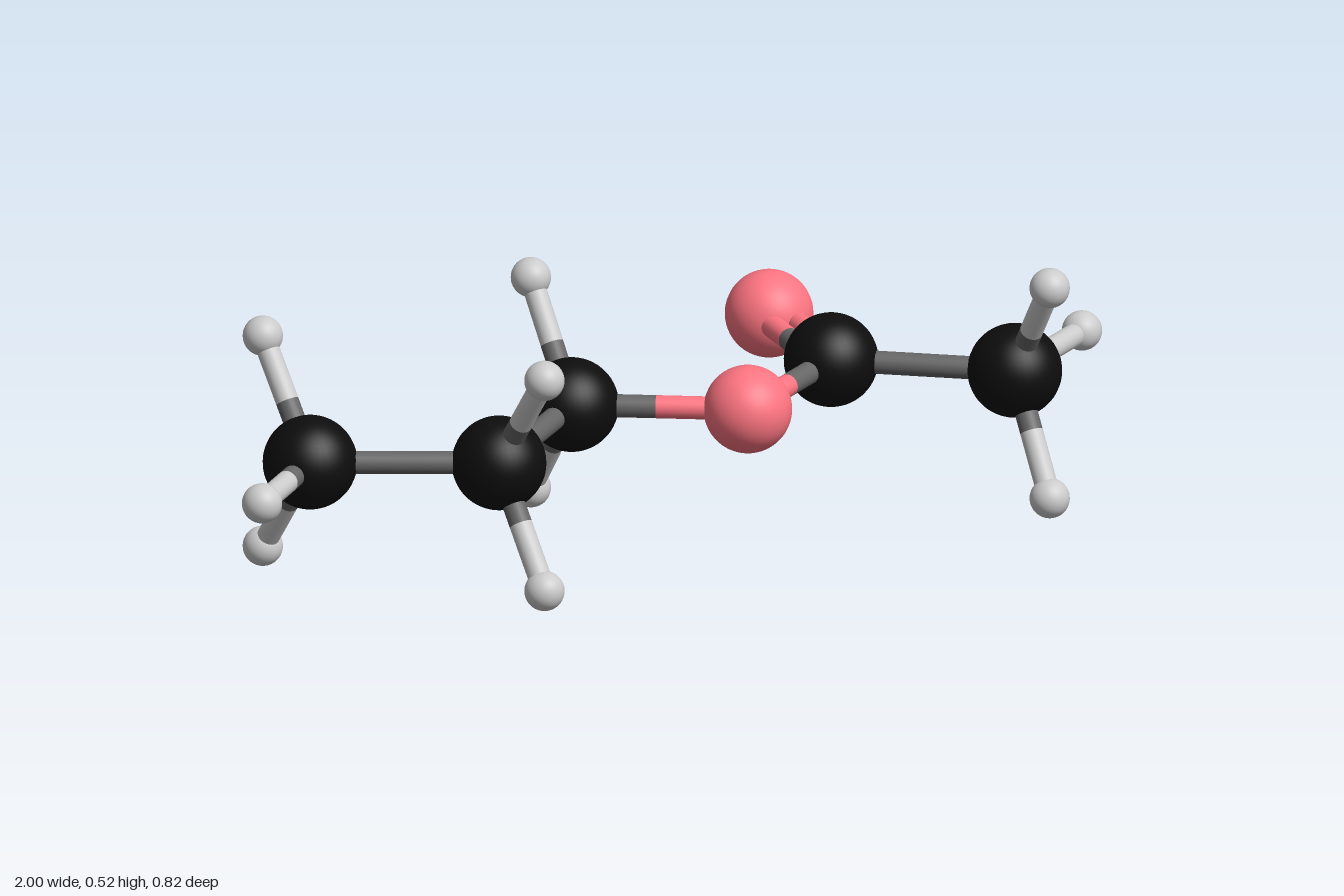
import * as THREE from 'three';

const material = (color) => new THREE.MeshStandardMaterial({ color });

// Ball radius, ball material and stick material for each kind of atom
const hydrogenMaterial = material(0xcccccc);
const oxygenMaterial = material(0xff7582);
const KINDS = {
  carbon: { radius: 0.094, ball: material(0x0d0d0d), stick: material(0x666666) },
  oxygen: { radius: 0.088, ball: oxygenMaterial, stick: oxygenMaterial },
  hydrogen: { radius: 0.04, ball: hydrogenMaterial, stick: hydrogenMaterial },
};

const MID = 0.262;     // height of the chain plane
const LIFT = 0.221;    // height of the paired hydrogens above and below it
const STICK = 0.023;   // bond radius
const SPLIT = 0.48;    // where a bond changes colour
const UP = new THREE.Vector3(0, 1, 0);

export function createModel() {
  const model = new THREE.Group();
  model.name = 'ballAndStickMolecule';

  function atom(kind, x, z, y = MID) {
    const { radius, ball } = KINDS[kind];
    const mesh = new THREE.Mesh(new THREE.SphereGeometry(radius, 40, 28), ball);
    mesh.name = kind + 'Ball';
    mesh.position.set(x, y, z);
    model.add(mesh);
    return { kind, position: mesh.position };
  }

  function halfStick(from, to, kind) {
    const along = to.clone().sub(from);
    const geometry = new THREE.CylinderGeometry(STICK, STICK, along.length(), 24);
    const mesh = new THREE.Mesh(geometry, KINDS[kind].stick);
    mesh.name = kind + 'Bond';
    mesh.position.copy(from).add(to).multiplyScalar(0.5);
    mesh.quaternion.setFromUnitVectors(UP, along.normalize());
    model.add(mesh);
  }

  // A bond of one or two sticks, each in the colours of its two atoms
  function bond(a, b, offsets = [0]) {
    const side = b.position.clone().sub(a.position).cross(UP).normalize();
    for (const offset of offsets) {
      const start = a.position.clone().addScaledVector(side, offset);
      const end = b.position.clone().addScaledVector(side, offset);
      const middle = start.clone().lerp(end, SPLIT);
      halfStick(start, middle, a.kind);
      halfStick(middle, end, b.kind);
    }
  }

  // Zigzag backbone
  const chain = [
    atom('carbon', -0.75, -0.06),
    atom('carbon', -0.435, 0.143),
    atom('carbon', -0.13, -0.073),
    atom('oxygen', 0.152, 0.135),
    atom('carbon', 0.447, -0.025),
    atom('carbon', 0.722, 0.222),
  ];
  for (let i = 1; i < chain.length; i++) bond(chain[i - 1], chain[i]);

  // Double-bonded oxygen
  bond(chain[4], atom('oxygen', 0.489, -0.323), [-0.026, 0.026]);

  // Hydrogens in the chain plane at both ends
  bond(chain[0], atom('hydrogen', -0.96, 0.096));
  bond(chain[5], atom('hydrogen', 0.96, 0.093));

  // Mirrored hydrogen pairs above and below the chain: [carbon, x, z]
  const pairs = [
    [0, -0.762, -0.217],
    [1, -0.431, 0.306],
    [2, -0.128, -0.228],
    [5, 0.709, 0.373],
  ];
  for (const [index, x, z] of pairs) {
    for (const sign of [-1, 1]) {
      bond(chain[index], atom('hydrogen', x, z, MID + sign * LIFT));
    }
  }

  return model;
}
